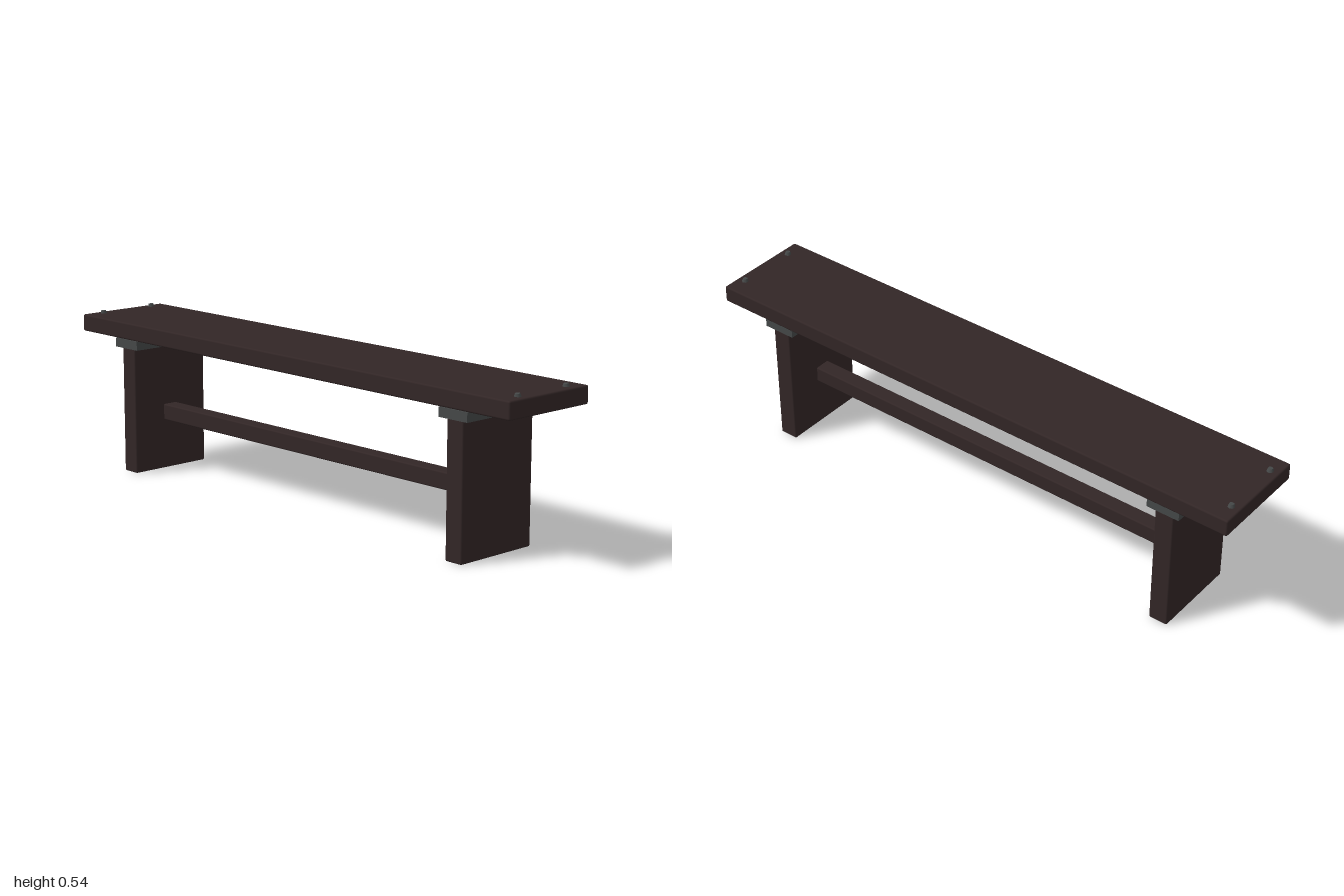
import * as THREE from 'three';
import { RoundedBoxGeometry } from 'three/addons/geometries/RoundedBoxGeometry.js';

export function createModel() {
  const bench = new THREE.Group();
  bench.name = 'bench';

  const wood = new THREE.MeshStandardMaterial({ color: 0x322626 });
  wood.name = 'dark wood';
  const metal = new THREE.MeshStandardMaterial({ color: 0x454848 });
  metal.name = 'grey metal';

  const add = (name, geometry, material, x, y, z) => {
    const mesh = new THREE.Mesh(geometry, material);
    mesh.name = name;
    mesh.position.set(x, y, z);
    bench.add(mesh);
    return mesh;
  };

  // Plank seat and the rail joining the legs
  add('seat', new RoundedBoxGeometry(2, 0.058, 0.346, 2, 0.006), wood, 0, 0.5, 0);
  add('stretcher', new RoundedBoxGeometry(1.5, 0.056, 0.056, 2, 0.005), wood, 0, 0.2, 0);

  const legShape = new RoundedBoxGeometry(0.066, 0.45, 0.306, 2, 0.005);
  const bracketShape = new THREE.BoxGeometry(0.115, 0.031, 0.326);
  const boltShape = new THREE.CylinderGeometry(0.008, 0.012, 0.012, 8);

  for (const side of [1, -1]) {
    const sideName = side > 0 ? 'left' : 'right';
    // Slab leg with its metal cap under the seat
    add(sideName + 'Leg', legShape, wood, side * 0.77, 0.225, 0);
    add(sideName + 'Bracket', bracketShape, metal, side * 0.77, 0.4525, 0);

    // Bolt heads at the seat corners
    for (const end of [1, -1]) {
      const name = sideName + (end > 0 ? 'Front' : 'Back') + 'Bolt';
      const bolt = add(name, boltShape, metal, side * 0.969, 0.533, end * 0.106);
      bolt.rotation.x = 0.12;
    }
  }
  return bench;
}
